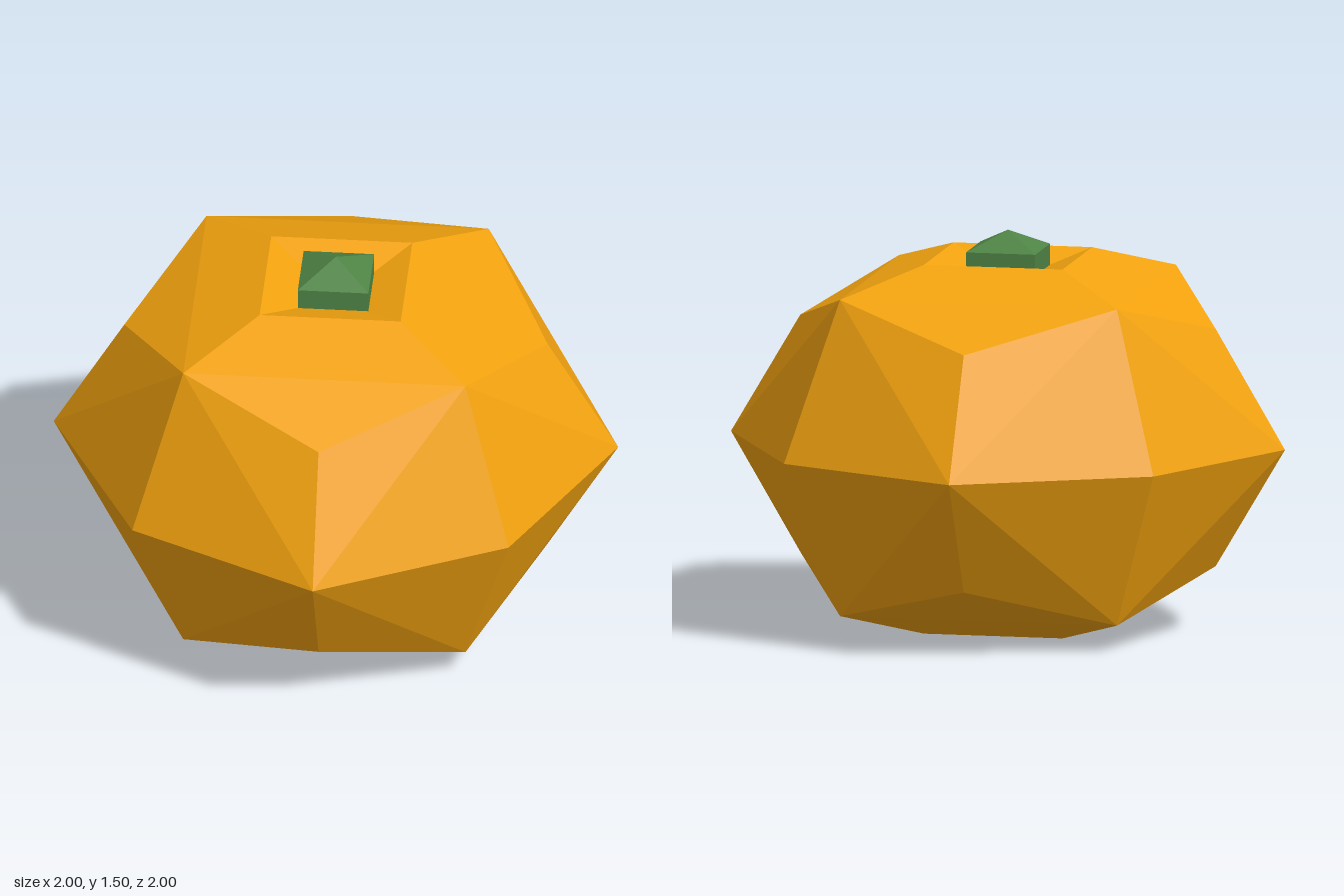
import * as THREE from 'three';

const MID = 0.7; // height of the widest ring

// One quadrant of the upper half; heights are relative to the widest ring
const P = {
  right: [1, 0, 0], corner: [0.75, 0, 0.75], front: [0, 0, 1],
  upRight: [0.75, 0.6, 0], upCorner: [0.5625, 0.45, 0.5625], upFront: [0, 0.6, 0.75],
  rimRight: [0.375, 0.7, 0], rimFront: [0, 0.7, 0.375], pit: [0, 0.6, 0],
};
const TRIANGLES = [
  ['front', 'corner', 'upFront'], ['corner', 'upCorner', 'upFront'],
  ['corner', 'right', 'upRight'], ['corner', 'upRight', 'upCorner'],
  ['upFront', 'upCorner', 'upRight'],
  ['upFront', 'upRight', 'rimRight'], ['upFront', 'rimRight', 'rimFront'],
  ['rimFront', 'rimRight', 'pit'],
];

// Quarter turns about the vertical axis
function turn([x, y, z], times) {
  for (let i = 0; i < times; i++) [x, z] = [z, -x];
  return [x, y, z];
}

// Repeat the quadrant four times, above and below
function bodyGeometry() {
  const positions = [];
  for (const side of [1, -1]) {
    for (let k = 0; k < 4; k++) {
      for (const tri of TRIANGLES) {
        const order = side > 0 ? tri : [...tri].reverse();
        for (const name of order) {
          const [x, y, z] = turn(P[name], k);
          positions.push(x, MID + side * y, z);
        }
      }
    }
  }
  const geometry = new THREE.BufferGeometry();
  geometry.setAttribute('position', new THREE.Float32BufferAttribute(positions, 3));
  geometry.computeVertexNormals();
  return geometry;
}

export function createModel() {
  const model = new THREE.Group();
  model.name = 'pumpkin';
  const orange = new THREE.MeshStandardMaterial({ color: 0xf2a20f, flatShading: true });
  const green = new THREE.MeshStandardMaterial({ color: 0x4f8445, flatShading: true });

  // Faceted body, dimpled at the top and bottom
  const body = new THREE.Mesh(bodyGeometry(), orange);
  body.name = 'body';
  model.add(body);

  // Short square stem with a pyramid cap, set corner-on in the dimple
  const stem = new THREE.Group();
  stem.name = 'stem';
  const post = new THREE.Mesh(new THREE.CylinderGeometry(0.1875, 0.1875, 0.13, 4, 1, true), green);
  post.name = 'stemPost';
  post.position.y = 1.365;
  const cap = new THREE.Mesh(new THREE.ConeGeometry(0.1875, 0.07, 4, 1, true), green);
  cap.name = 'stemCap';
  cap.position.y = 1.465;
  stem.add(post, cap);
  model.add(stem);

  return model;
}
